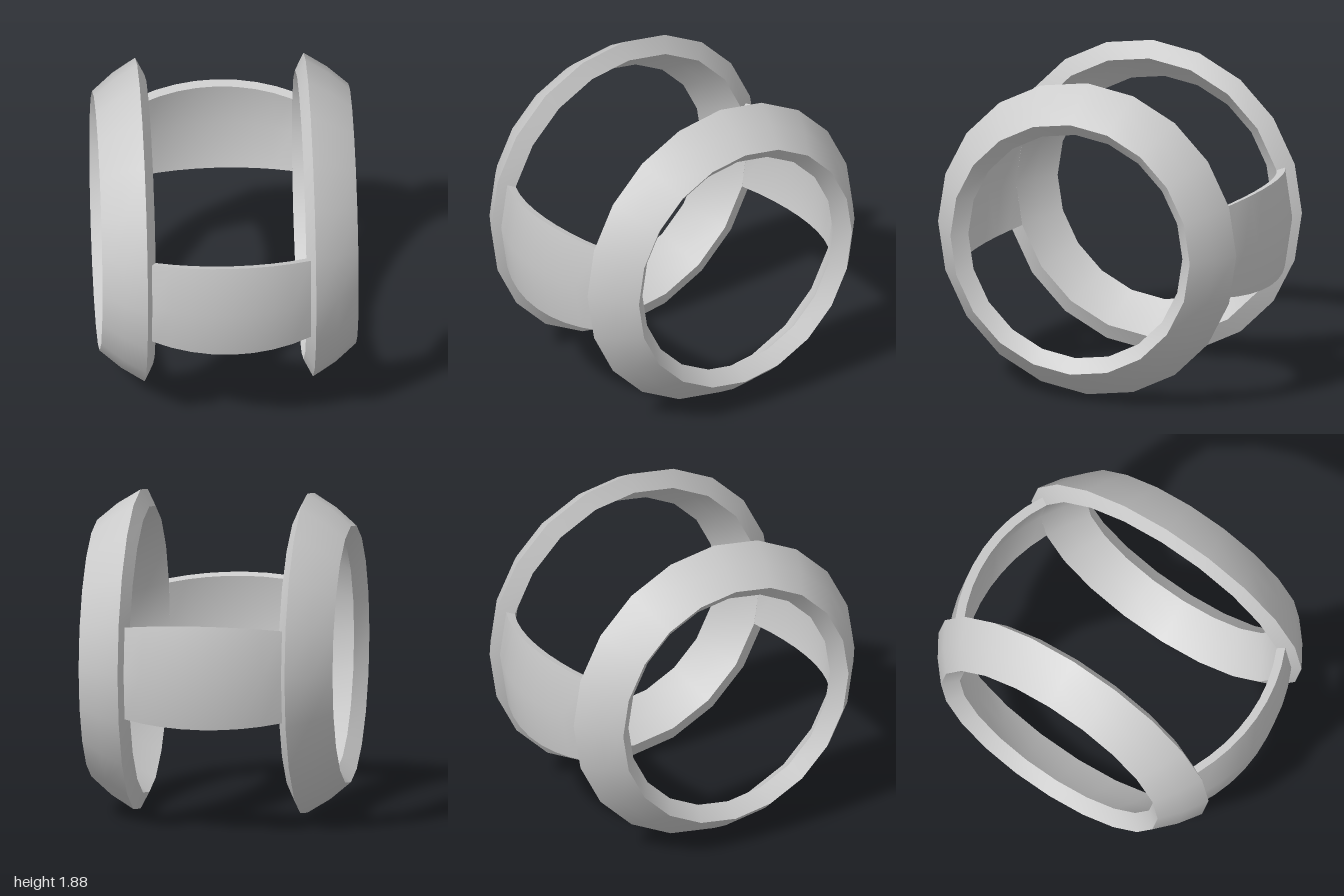
import * as THREE from 'three';
import { toCreasedNormals } from 'three/addons/utils/BufferGeometryUtils.js';

// The whole body is cut from a spherical shell; angles are measured from the middle plane x = 0.
const CENTER_Y = 0.942;
const R_INNER = 0.948, R_BAND = 1.0, R_RING = 1.06;
const A_START = 0.48, A_END = 0.779; // angular span of each side ring
const BAND_HALF = 0.31;              // half height of a band, as an angle
const CREASE = 0.6;

const material = new THREE.MeshStandardMaterial({ color: 0xcccccc });

// Side ring: closed shell section turned around the x axis
function ringGeometry() {
  const point = (R, a) => new THREE.Vector2(R * Math.cos(a), R * Math.sin(a));
  const mid = (A_START + A_END) / 2;
  const profile = [
    point(R_RING, A_START), point(R_RING, mid), point(R_RING, A_END),
    point(R_INNER, A_END), point(R_INNER, mid), point(R_INNER, A_START),
    point(R_RING, A_START),
  ];
  const g = new THREE.LatheGeometry(profile, 20);
  g.rotateZ(-Math.PI / 2);
  return toCreasedNormals(g, CREASE);
}

// Connecting band: a box bent onto the sphere, ending on the ring's bevel
function bandGeometry() {
  const g = new THREE.BoxGeometry(2 * A_START, 2 * BAND_HALF, 1, 8, 2, 1);
  const p = g.attributes.position;
  for (let i = 0; i < p.count; i++) {
    const a = p.getX(i), b = p.getY(i);
    const R = p.getZ(i) > 0 ? R_BAND : R_INNER;
    const r = R * Math.cos(a);
    p.setXYZ(i, R * Math.sin(a), r * Math.sin(b), r * Math.cos(b));
  }
  return toCreasedNormals(g, CREASE);
}

export function createModel() {
  const model = new THREE.Group();
  const add = (geometry, name, turn) => {
    const mesh = new THREE.Mesh(geometry, material);
    mesh.name = name;
    mesh.rotation.y = turn;
    mesh.position.y = CENTER_Y;
    model.add(mesh);
  };
  const ring = ringGeometry(), band = bandGeometry();
  add(ring, 'leftRing', 0);
  add(ring, 'rightRing', Math.PI);
  add(band, 'frontBand', 0);
  add(band, 'backBand', Math.PI);
  return model;
}
